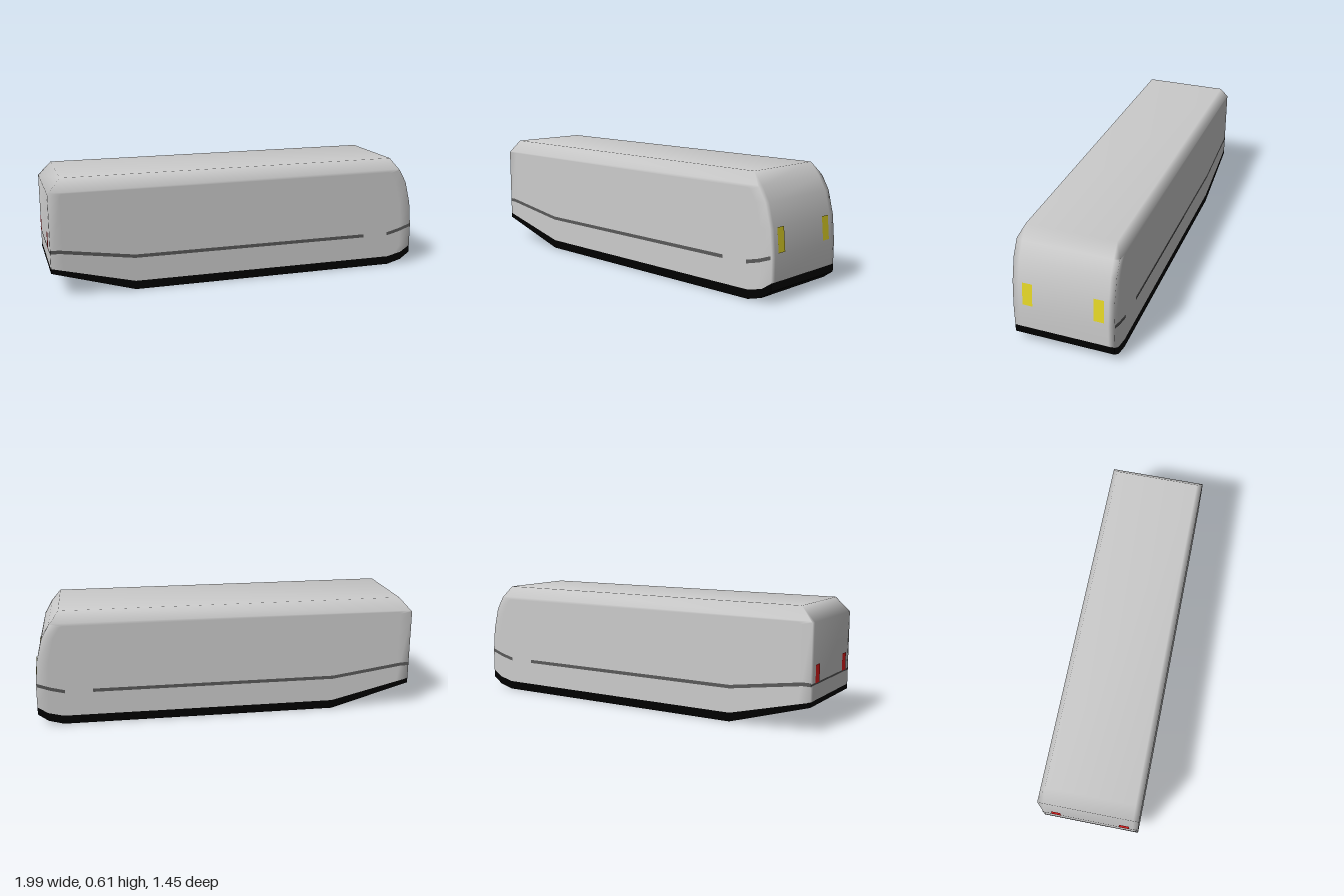
import * as THREE from 'three';

const W = 0.2555, L = 1.0025; // half width and half length

// Side outlines as [length, height], counter-clockwise from the lower rear corner
const outline = [[-L, 0.15], [-0.575, 0.045], [0.87, 0.045], [0.95, 0.065], [L, 0.1], [L, 0.22],
  [0.99, 0.35], [0.96, 0.47], [0.92, 0.54], [0.87, 0.605], [-0.935, 0.605], [-L, 0.53]];
const shoulder = outline.map((p, i) => (i === 9 ? [0.914, 0.546] : i === 10 ? [-0.996, 0.537] : p));
const sidePanel = [[-0.94, 0.135], [-0.575, 0.045], [0.87, 0.045], [0.91, 0.055], [0.94, 0.1], [0.94, 0.22],
  [0.93, 0.35], [0.9, 0.47], [0.865, 0.525], [0.85, 0.53], [-0.93, 0.53], [-0.94, 0.52]];
const keel = [[-L, 0.125], [-0.575, 0], [0.87, 0], [0.95, 0.022], [L, 0.06]];

const material = (color) => new THREE.MeshStandardMaterial({ color, side: THREE.DoubleSide });
const grey = material(0xcccccc), black = material(0x000000), dark = material(0x595959);
const red = material(0xee2020), yellow = material(0xe6d828);

function named(name, geometry, mat) {
  const mesh = new THREE.Mesh(geometry, mat);
  mesh.name = name;
  return mesh;
}

// Flat-shaded ribbon between two rows of 3D points
function ribbon(name, a, b, mat) {
  const pos = [];
  for (let i = 0; i < a.length - 1; i++) {
    pos.push(...a[i], ...b[i], ...b[i + 1], ...a[i], ...b[i + 1], ...a[i + 1]);
  }
  const g = new THREE.BufferGeometry();
  g.setAttribute('position', new THREE.Float32BufferAttribute(pos, 3));
  g.computeVertexNormals();
  return named(name, g, mat);
}
const at = (points, w) => points.map(([u, y]) => [u, y, w]);
const raise = (points, d) => points.map(([u, y]) => [u, y + d]);

// Smooth shell: side panel, shoulder and roof rings lofted across the width
function shellGeometry() {
  const rings = [[sidePanel, W], [shoulder, W], [outline, 0.226], [outline, -0.226], [shoulder, -W], [sidePanel, -W]];
  const n = outline.length, index = [];
  const pos = rings.flatMap(([points, w]) => at(points, w).flat());
  for (let r = 0; r < rings.length - 1; r++) {
    const isSide = r === 0 || r === rings.length - 2;
    for (let i = isSide ? 0 : 4; i < n; i++) {
      const j = (i + 1) % n, a = r * n, b = a + n;
      index.push(a + i, b + i, b + j, a + i, b + j, a + j);
    }
  }
  const panel = sidePanel.map(([u, y]) => new THREE.Vector2(u, y));
  const last = (rings.length - 1) * n;
  for (const [a, b, c] of THREE.ShapeUtils.triangulateShape(panel, [])) {
    index.push(a, b, c, last + c, last + b, last + a);
  }
  const g = new THREE.BufferGeometry();
  g.setAttribute('position', new THREE.Float32BufferAttribute(pos, 3));
  g.setIndex(index);
  g.computeVertexNormals();
  return g;
}

export function createModel() {
  const van = new THREE.Group();
  van.name = 'vanBody';
  van.add(named('shell', shellGeometry(), grey));

  // Belly between the skirts
  const belly = keel.slice(0, 4);
  van.add(ribbon('belly', at(belly, W), at(belly, -W), grey));

  // Black skirt around all four sides
  const frontSkirt = [keel[3], keel[4], outline[4]];
  const rearSkirt = [keel[0], outline[0]];
  van.add(ribbon('frontSkirt', at(frontSkirt, W), at(frontSkirt, -W), black));
  van.add(ribbon('rearSkirt', at(rearSkirt, W), at(rearSkirt, -W), black));

  // Trim lines, rear and sides
  const longTrim = [[-L, 0.226], [-0.96, 0.226], [-0.575, 0.17], [0.713, 0.17]];
  const shortTrim = [[0.857, 0.17], [0.93, 0.188], [0.998, 0.212]];
  const rearTrim = [[-L - 0.002, 0.227], [-L - 0.002, 0.237]];
  van.add(ribbon('rearTrim', at(rearTrim, W), at(rearTrim, -W), dark));

  for (const s of [1, -1]) {
    van.add(ribbon('sideSkirt', at(outline.slice(0, 5), s * W), at(keel, s * W), black));
    const w = s * (W + 0.002);
    for (const line of [longTrim, shortTrim]) {
      van.add(ribbon('sideTrim', at(raise(line, 0.018), w), at(line, w), dark));
    }
    // Lamps at both ends
    const lampIn = s * 0.155, lampOut = s * 0.206;
    const tail = [[-L - 0.004, 0.235], [-L - 0.004, 0.325]];
    const head = [[L + 0.002, 0.235], [0.993, 0.355]];
    van.add(ribbon('tailLamp', at(tail, lampIn), at(tail, lampOut), red));
    van.add(ribbon('headLamp', at(head, lampIn), at(head, lampOut), yellow));
  }

  // The body stands diagonally
  van.rotation.y = Math.PI / 6;
  const model = new THREE.Group();
  model.name = 'van';
  model.add(van);
  return model;
}
